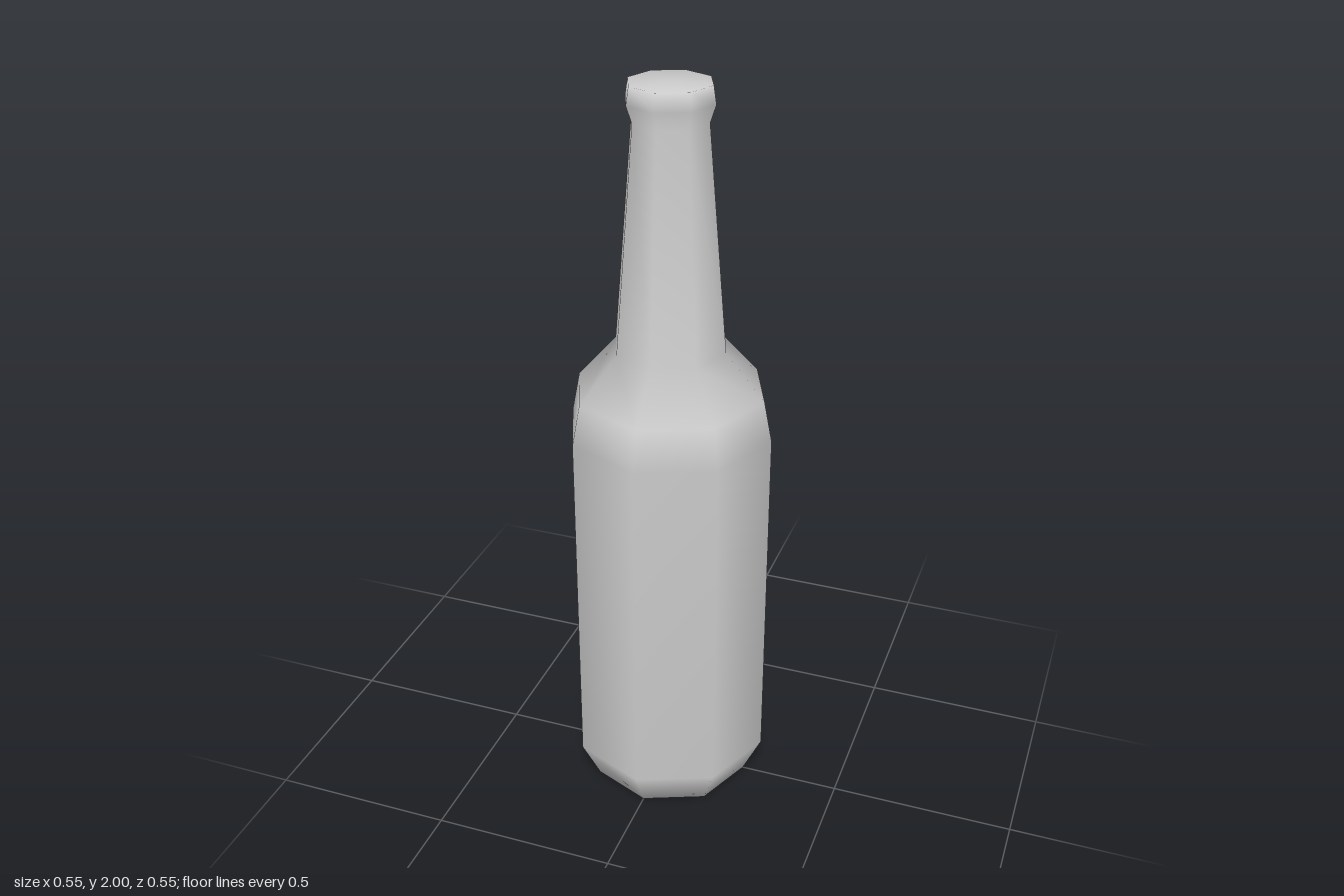
import * as THREE from 'three';

// Eight-sided, smooth-shaded bottle turned from one profile
export function createModel() {
  const group = new THREE.Group();
  group.name = 'bottle';

  const profile = [
    [0, 0], [0.225, 0],            // base
    [0.277, 0.11], [0.277, 1.09],  // body
    [0.255, 1.2], [0.15, 1.32],    // shoulder
    [0.1, 1.91],                   // neck
    [0.115, 1.955], [0.108, 2],    // lip
    [0, 2],                        // closed top
  ].map(([r, y]) => new THREE.Vector2(r, y));

  const glass = new THREE.Mesh(
    new THREE.LatheGeometry(profile, 8),
    new THREE.MeshStandardMaterial({ color: 0xcccccc })
  );
  glass.name = 'bottleGlass';
  group.add(glass);
  return group;
}
